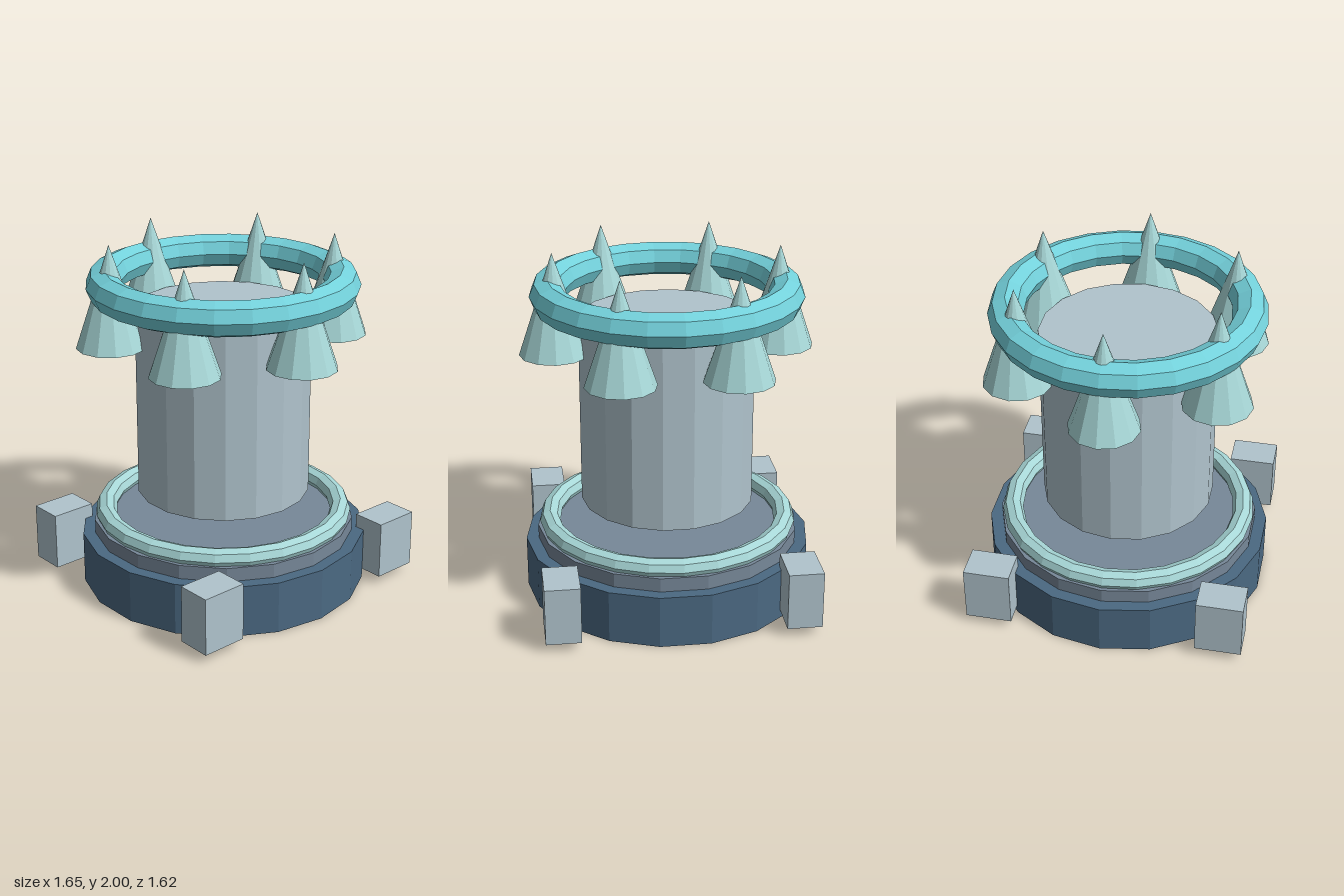
import * as THREE from 'three';

function material(name, color) {
  const m = new THREE.MeshStandardMaterial({ color, flatShading: true });
  m.name = name;
  return m;
}

export function createModel() {
  const model = new THREE.Group();
  model.name = 'spikedPillar';

  const navy = material('slate navy', 0x4b6982);
  const slate = material('slate grey', 0x778899);
  const stone = material('pale blue stone', 0xb0c4cd);
  const aqua = material('aqua', 0x74d2dc);
  const mint = material('pale mint', 0xa8d8d8);

  function add(name, geometry, mat, x = 0, y = 0, z = 0) {
    const mesh = new THREE.Mesh(geometry, mat);
    mesh.name = name;
    mesh.position.set(x, y, z);
    model.add(mesh);
    return mesh;
  }

  // Upright 18-sided drum with corners on the x axis
  function drum(name, radius, bottom, top, mat) {
    const g = new THREE.CylinderGeometry(radius, radius, top - bottom, 18);
    g.rotateY(Math.PI / 2);
    add(name, g, mat, 0, (bottom + top) / 2, 0);
  }

  // Horizontal ring with an octagonal section
  function ring(name, radius, tube, y, mat) {
    const g = new THREE.TorusGeometry(radius, tube, 8, 24);
    g.rotateX(-Math.PI / 2);
    add(name, g, mat, 0, y, 0);
  }

  // Base, step and floating column
  drum('base', 0.82, 0, 0.3, navy);
  drum('step', 0.75, 0.3, 0.38, slate);
  drum('column', 0.494, 0.54, 1.615, stone);

  // Lower trim and upper crown ring
  ring('lowerRing', 0.68, 0.059, 0.406, mint);
  ring('crownRing', 0.66, 0.098, 1.757, aqua);

  // Six spikes through the crown ring
  const spike = new THREE.ConeGeometry(0.195, 0.575, 12);
  for (let i = 0; i < 6; i++) {
    const a = (i * Math.PI) / 3;
    const mesh = add('spike', spike, mint, 0.628 * Math.cos(a), 1.7125, 0.628 * Math.sin(a));
    mesh.rotation.y = -a;
  }

  // Four corner blocks
  const block = new THREE.BoxGeometry(0.196, 0.33, 0.264);
  for (const sx of [-1, 1]) {
    for (const sz of [-1, 1]) add('cornerBlock', block, stone, sx * 0.662, 0.215, sz * 0.662);
  }

  return model;
}
